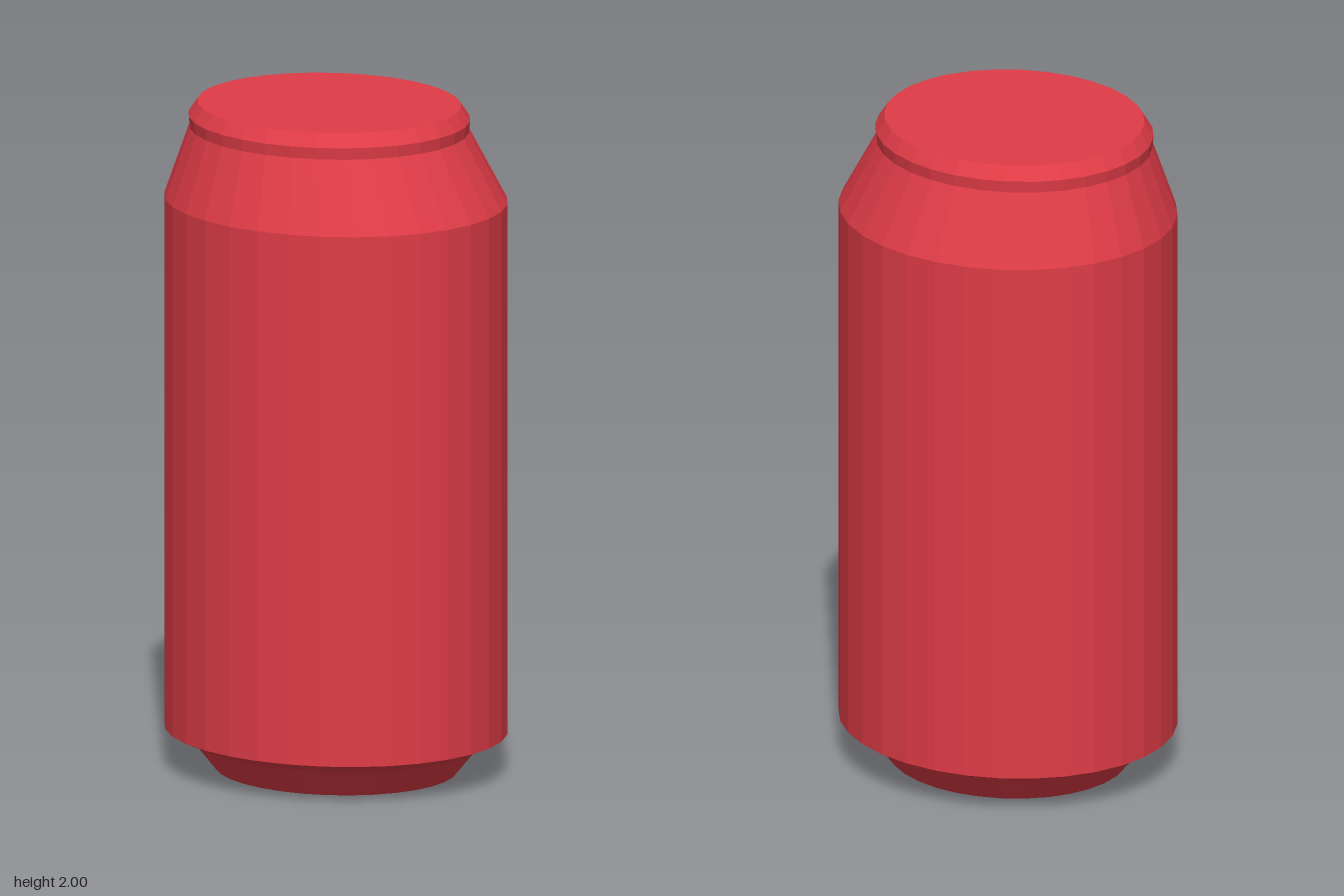
import * as THREE from 'three';

const SIDES = 32;
const DEPTH_RATIO = 1.093; // the can is slightly deeper than wide

// Rings from the base up: radius, height, and the sideways shift of the lid
const RINGS = [
  { r: 0, y: 0 },
  { r: 0.344, y: 0 },                          // foot
  { r: 0.41, y: 0.085 },                       // foot chamfer
  { r: 0.487, y: 0.12 },                       // body bottom
  { r: 0.487, y: 1.715 },                      // body top
  { r: 0.397, y: 1.925, x: -0.012, z: -0.017 }, // neck
  { r: 0.4, y: 1.96, x: -0.012, z: -0.017 },   // lip
  { r: 0.374, y: 2, x: -0.012, z: -0.017 },    // lid edge
  { r: 0, y: 2, x: -0.012, z: -0.017 },
];

export function createModel() {
  const group = new THREE.Group();
  group.name = 'drinkCan';
  const material = new THREE.MeshStandardMaterial({ color: 0xe03c47, flatShading: true });

  // Revolve the run of rings, then make it oval and shift the upper rings
  const addPart = (name, from, to) => {
    const rings = RINGS.slice(from, to + 1);
    const lathe = new THREE.LatheGeometry(rings.map(({ r, y }) => new THREE.Vector2(r, y)), SIDES);
    const pos = lathe.attributes.position;
    for (let i = 0; i < pos.count; i++) {
      const { x = 0, z = 0 } = rings[i % rings.length];
      pos.setX(i, pos.getX(i) + x);
      pos.setZ(i, pos.getZ(i) * DEPTH_RATIO + z);
    }
    const geometry = lathe.toNonIndexed();
    geometry.computeVertexNormals();
    const mesh = new THREE.Mesh(geometry, material);
    mesh.name = name;
    group.add(mesh);
  };

  addPart('base', 0, 3);
  addPart('body', 3, 4);
  addPart('shoulder', 4, 5);
  addPart('lid', 5, 8);
  return group;
}
